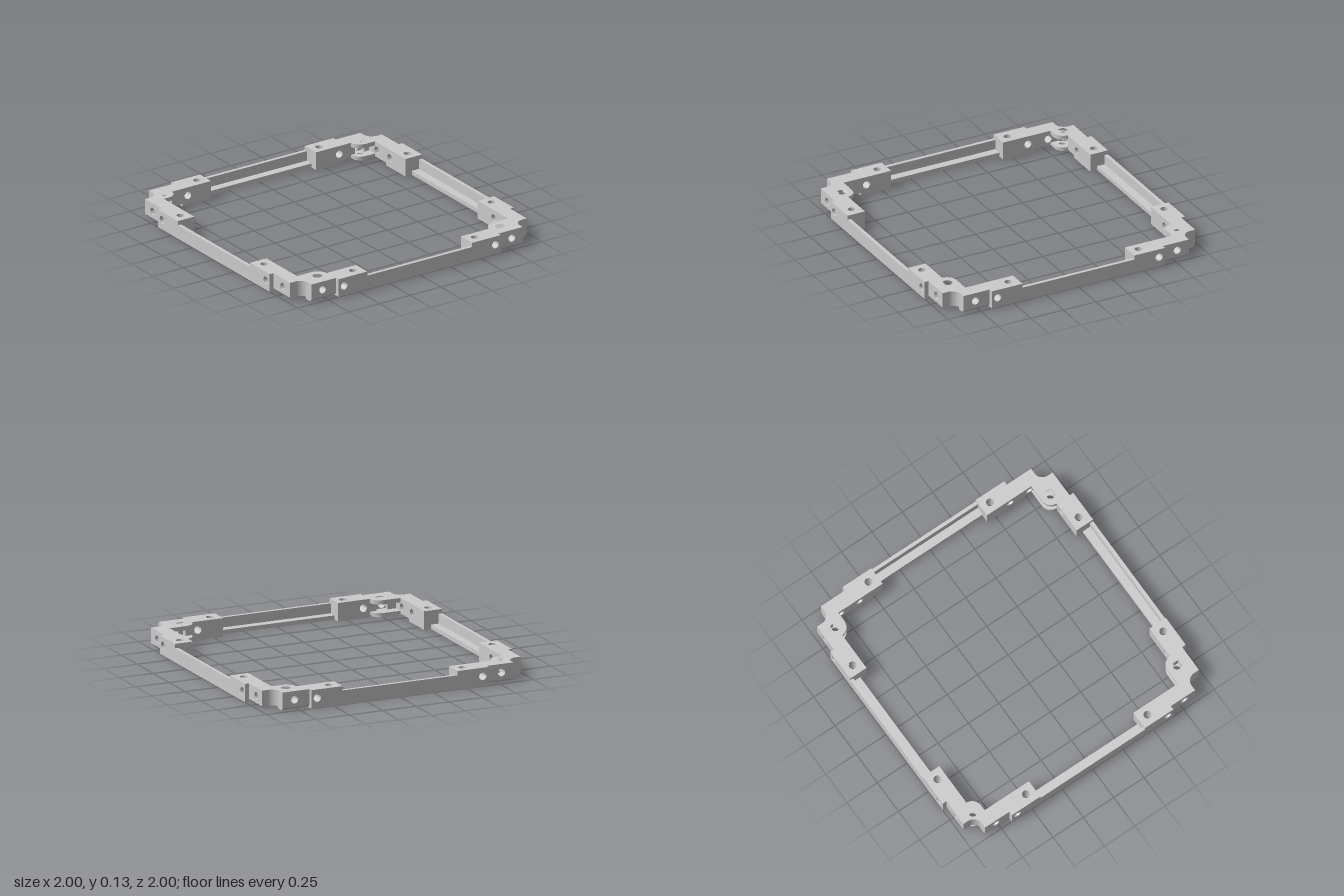
import * as THREE from 'three';
import { toCreasedNormals } from 'three/addons/utils/BufferGeometryUtils.js';

const material = new THREE.MeshStandardMaterial({ color: 0xcccccc });
const TOP = 0.13, INNER = 0.865, STEP = 0.97, END = 0.43;

// Rectangle with optional round holes given as [x, y, radius]
function rect(x0, y0, x1, y1, holes = []) {
  const s = new THREE.Shape([[x0, y0], [x1, y0], [x1, y1], [x0, y1]].map(p => new THREE.Vector2(...p)));
  return drill(s, holes);
}
function drill(shape, holes) {
  for (const [x, y, r] of holes) shape.holes.push(new THREE.Path().absarc(x, y, r, 0, Math.PI * 2, true));
  return shape;
}
function extrude(shape, depth) {
  return new THREE.ExtrudeGeometry(shape, { depth, bevelEnabled: false, curveSegments: 16 });
}
// Shape in (x, z) raised from y0 to y1
function plate(shape, y0, y1) {
  return extrude(shape, y1 - y0).rotateX(Math.PI / 2).translate(0, y1, 0);
}
// Shape in (x, y) carried from z0 to z1
function slab(shape, z0, z1) {
  return extrude(shape, z1 - z0).translate(0, 0, z0);
}

// Place a part, turning its faces round when it is mirrored
function place(group, name, geometry, matrix) {
  const g = geometry.clone().applyMatrix4(matrix);
  if (matrix.determinant() < 0) {
    const p = g.attributes.position;
    const a = new THREE.Vector3(), b = new THREE.Vector3();
    for (let i = 0; i < p.count; i += 3) {
      a.fromBufferAttribute(p, i + 1);
      b.fromBufferAttribute(p, i + 2);
      p.setXYZ(i + 1, b.x, b.y, b.z);
      p.setXYZ(i + 2, a.x, a.y, a.z);
    }
  }
  const mesh = new THREE.Mesh(toCreasedNormals(g, 0.6), material);
  mesh.name = name;
  group.add(mesh);
}

// One arm of a corner bracket; boltX marks a vertical bolt cutting its inner side
function armParts(boltX) {
  const side = [0.775, 0.07, 0.027];
  const wedge = new THREE.Shape([[0.905, 0], [0.95, 0], [STEP, 0.02], [0.905, 0.02]]
    .map(([z, y]) => new THREE.Vector2(-z, y)));
  const parts = [
    ['bracketEnd', plate(rect(END, INNER, 0.56, 1, [[0.5, 0.93, 0.027]]), 0, TOP)],
    ['bracketBlock', slab(rect(0.56, 0, 0.665, TOP, [[0.62, 0.07, 0.027]]), INNER, 1)],
    ['bracketChamfer', extrude(wedge, 0.2).rotateY(Math.PI / 2).translate(0.665, 0, 0)],
  ];
  if (boltX === undefined) {
    parts.push(['bracketWall', slab(rect(0.66, 0.04, INNER, 0.1, [side]), INNER, STEP)]);
  } else {
    parts.push(['bracketWall', slab(rect(0.66, 0.04, INNER, 0.1, [side]), 0.902, STEP)]);
    const from = Math.min(boltX - 0.033, 0.748), to = Math.max(boltX + 0.033, 0.802);
    parts.push(['innerWall', slab(rect(0.66, 0.04, from, 0.1), INNER, 0.902)]);
    if (to < INNER) parts.push(['innerWall', slab(rect(to, 0.04, INNER, 0.1), INNER, 0.902)]);
  }
  return parts;
}

// Corner plate: stepped outside with a hollow notch, rounded bolt lobe inside
function cornerOutline(boltX) {
  const s = new THREE.Shape();
  s.moveTo(0.66, INNER);
  s.lineTo(0.66, STEP);
  s.lineTo(INNER, STEP);
  s.lineTo(INNER, 0.93);
  s.absarc(0.93, 0.93, 0.065, Math.PI, Math.PI * 1.5, false);
  s.lineTo(STEP, INNER);
  s.lineTo(STEP, 0.66);
  s.lineTo(INNER, 0.66);
  s.lineTo(INNER, 0.795);
  s.lineTo(boltX, 0.795);
  s.quadraticCurveTo(boltX - 0.07, 0.797, boltX - 0.08, INNER);
  return drill(s, [[boltX, 0.868, 0.033]]);
}

function corner(boltX, sx, sz) {
  const group = new THREE.Group();
  group.name = 'cornerBracket';
  const mirror = new THREE.Matrix4().makeScale(sx, 1, sz);
  const swap = mirror.clone().multiply(new THREE.Matrix4().set(
    0, 0, 1, 0, 0, 1, 0, 0, 1, 0, 0, 0, 0, 0, 0, 1));
  for (const [name, g] of armParts(boltX)) place(group, name, g, mirror);
  for (const [name, g] of armParts()) place(group, name, g, swap);

  // Upper and lower plates leave an open slot between them
  place(group, 'topPlate', plate(cornerOutline(boltX), 0.1, TOP), mirror);
  place(group, 'bottomPlate', plate(cornerOutline(boltX), 0.02, 0.04), mirror);

  // Boss ring below the bolt hole
  const ring = new THREE.Shape().absarc(boltX, 0.868, 0.06, 0, Math.PI * 2, false);
  place(group, 'boltBoss', plate(drill(ring, [[boltX, 0.868, 0.033]]), 0.005, 0.02), mirror);

  // Web filling the inside of the notch
  const web = new THREE.Shape();
  web.moveTo(INNER, INNER);
  web.lineTo(INNER, 0.93);
  web.absarc(0.93, 0.93, 0.065, Math.PI, Math.PI * 1.5, false);
  place(group, 'notchWeb', plate(web, 0.04, 0.1), mirror);
  return group;
}

export function createModel() {
  const model = new THREE.Group();
  model.name = 'frame';

  // Four L-section rails
  const section = new THREE.Shape([[0.917, 0], [1, 0], [1, 0.1], [0.975, 0.1], [0.975, 0.03], [0.917, 0.03]]
    .map(([x, y]) => new THREE.Vector2(x, y)));
  const rail = slab(section, -END - 0.002, END + 0.002);
  for (let i = 0; i < 4; i++) place(model, 'rail', rail, new THREE.Matrix4().makeRotationY(i * Math.PI / 2));

  // Corner brackets, each with its own bolt position
  for (const [boltX, sx, sz] of [[0.745, 1, 1], [0.75, -1, 1], [0.795, 1, -1], [0.83, -1, -1]]) {
    model.add(corner(boltX, sx, sz));
  }
  return model;
}
